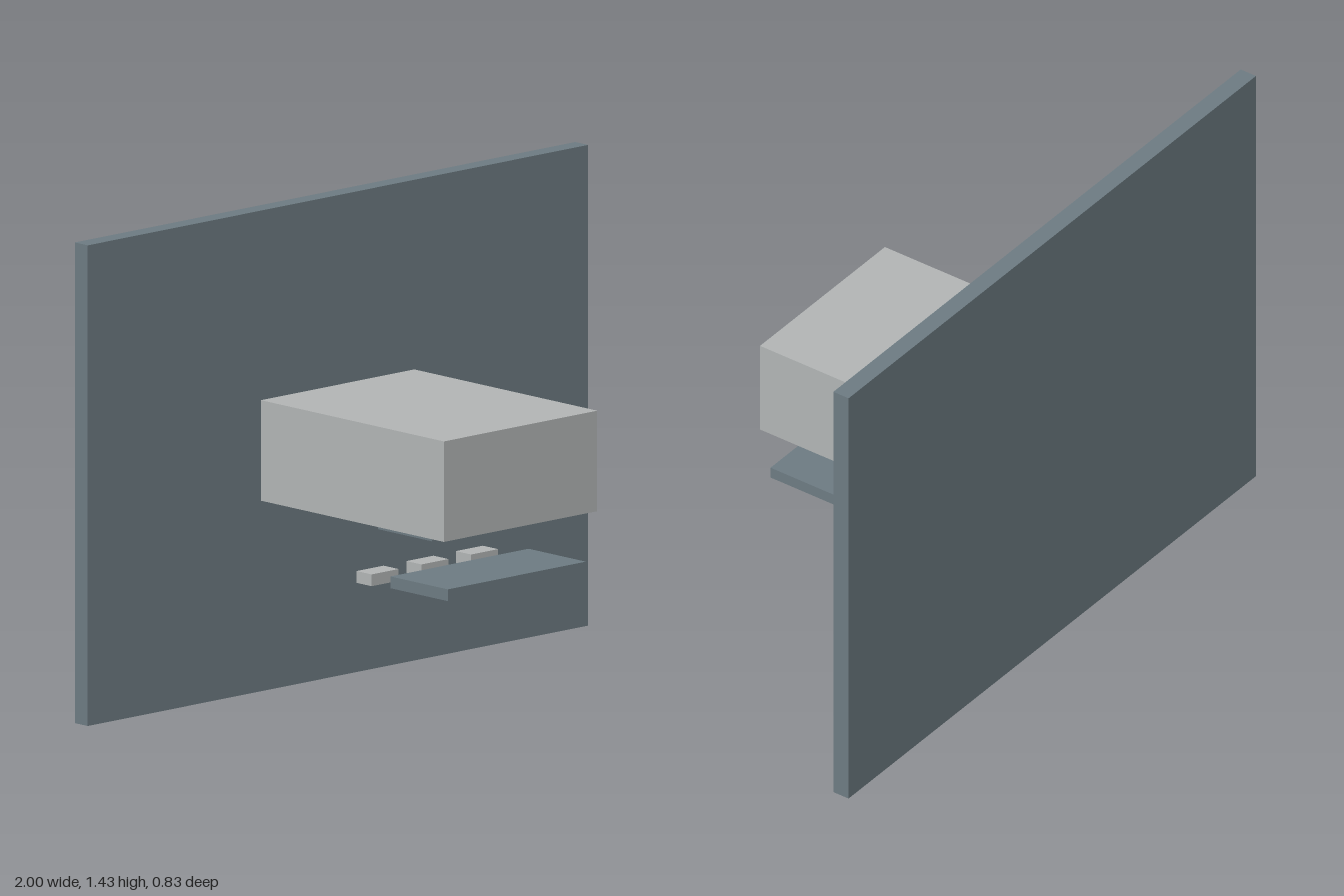
import * as THREE from 'three';

export function createModel() {
  const model = new THREE.Group();
  const slate = new THREE.MeshStandardMaterial({ color: 0x6d7b82 });
  slate.name = 'slate grey';
  const pale = new THREE.MeshStandardMaterial({ color: 0xb2b5b5 });
  pale.name = 'pale grey';

  // Box given by its extents along each axis
  function block(name, material, [x0, x1], [y0, y1], [z0, z1]) {
    const mesh = new THREE.Mesh(new THREE.BoxGeometry(x1 - x0, y1 - y0, z1 - z0), material);
    mesh.position.set((x0 + x1) / 2, (y0 + y1) / 2, (z0 + z1) / 2);
    mesh.name = name;
    model.add(mesh);
  }

  // Wall and the cabinet projecting from it
  block('wallPanel', slate, [-1, 1], [0, 1.43], [-0.415, -0.36]);
  block('cabinet', pale, [-0.308, 0.305], [0.567, 0.866], [-0.36, 0.415]);

  // Fittings on the cabinet underside
  block('undersidePlate', slate, [-0.214, 0.211], [0.531, 0.567], [0.036, 0.265]);
  block('largePad', slate, [0.094, 0.211], [0.525, 0.567], [-0.206, -0.093]);
  block('smallPad', slate, [-0.038, 0.034], [0.525, 0.567], [-0.348, -0.278]);

  // Separate tray below, with a row of keys behind it
  block('tray', slate, [-0.278, 0.274], [0.384, 0.419], [0.157, 0.4]);
  for (const x of [-0.201, -0.002, 0.196]) {
    block('key', pale, [x - 0.054, x + 0.054], [0.37, 0.405], [-0.011, 0.053]);
  }

  return model;
}
